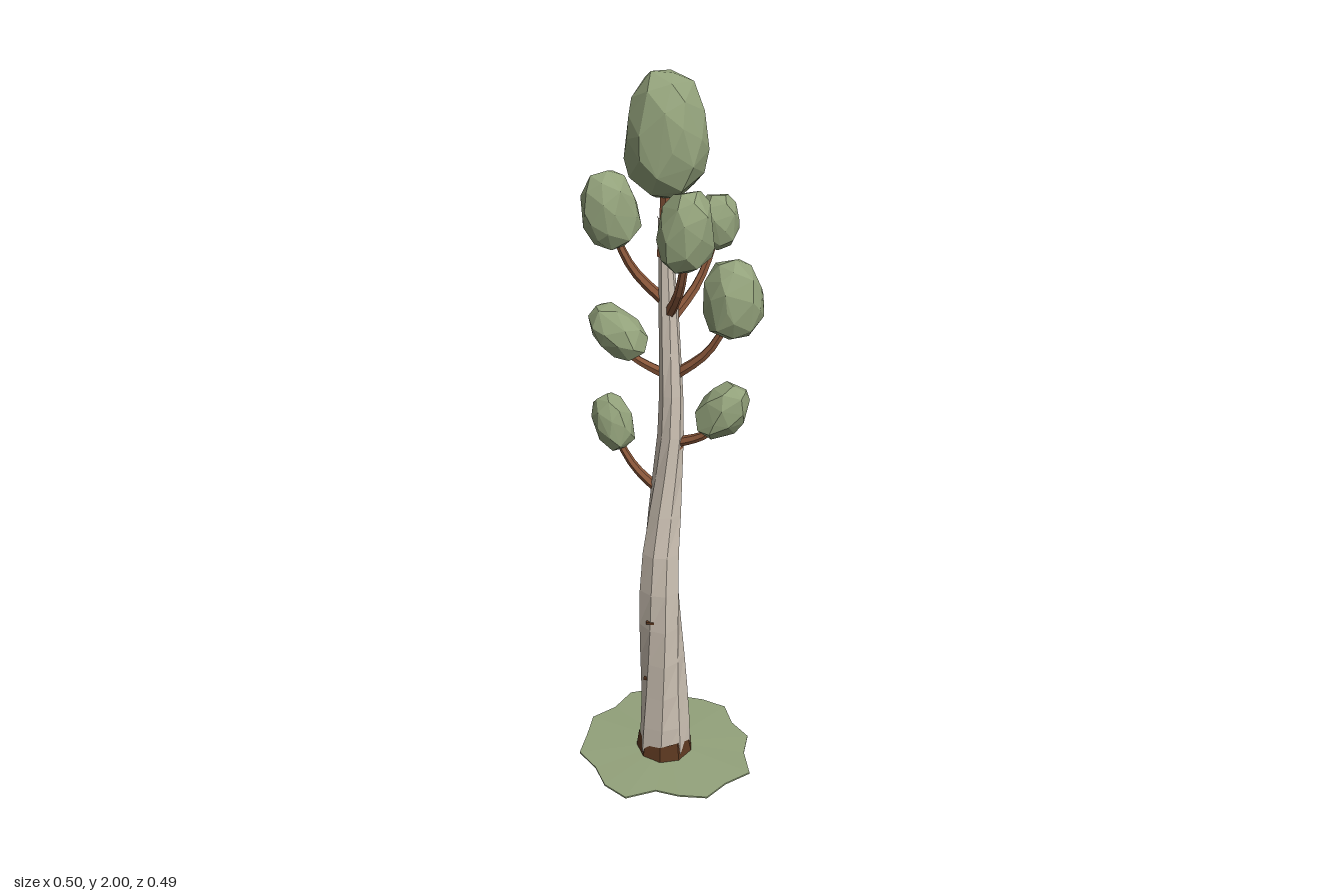
import * as THREE from 'three';
import { ConvexGeometry } from 'three/addons/geometries/ConvexGeometry.js';

const V = (x, y, z) => new THREE.Vector3(x, y, z);
const mat = (name, color) => {
  const m = new THREE.MeshStandardMaterial({ color });
  m.name = name;
  return m;
};

// Small seeded random source
function seeded(seed) {
  let s = seed * 7919 + 17;
  return () => (s = (s * 16807) % 2147483647) / 2147483647;
}

// Split faces so each gets its own flat normal
function faceted(geo) {
  const g = geo.index ? geo.toNonIndexed() : geo;
  g.computeVertexNormals();
  return g;
}

// Tapered, optionally twisted limb along a curve; radii are spread evenly along it
function limb(curve, radii, segments, sides, twist = 0, rough = 0) {
  const geo = new THREE.TubeGeometry(curve, segments, 1, sides);
  const pos = geo.attributes.position, v = V(0, 0, 0), up = V(0, 1, 0);
  for (let i = 0; i < pos.count; i++) {
    const ring = Math.floor(i / (sides + 1)), side = (i % (sides + 1)) % sides;
    const t = ring / segments, f = t * (radii.length - 1);
    const k = Math.min(Math.floor(f), radii.length - 2);
    const r = THREE.MathUtils.lerp(radii[k], radii[k + 1], f - k);
    const bump = 1 + rough * Math.sin(side * 2.4 + ring * 0.9);
    const c = curve.getPointAt(t);
    v.fromBufferAttribute(pos, i).sub(c).applyAxisAngle(up, twist * t).multiplyScalar(r * bump).add(c);
    pos.setXYZ(i, v.x, v.y, v.z);
  }
  return faceted(geo);
}

// Faceted egg of leaves, fuller towards the bottom
function clumpGeometry(width, height, seed) {
  const rnd = seeded(seed), pts = [], count = Math.round(14 + width * 150);
  for (let i = 0; i < count; i++) {
    const y = 1 - 2 * (i + 0.5) / count, a = i * 2.39996 + rnd() * 0.5;
    const r = Math.sqrt(1 - y * y);
    const full = Math.pow(r ** 2.5 + Math.abs(y) ** 2.5, -1 / 2.5) * (0.95 + 0.08 * rnd());
    const girth = full * r * (1 - 0.1 * y);
    pts.push(V(girth * Math.cos(a), full * y, girth * Math.sin(a)));
  }
  const geo = new ConvexGeometry(pts);
  geo.center();
  const b = geo.boundingBox.getSize(V(0, 0, 0));
  geo.scale(width / b.x, height / b.y, width * 0.97 / b.z);
  return faceted(geo);
}

// Ragged, slightly domed patch with a flat underside
function groundGeometry() {
  const reach = [.225, .265, .235, .25, .22, .2, .255, .25, .232, .26,
    .243, .255, .23, .26, .255, .22, .227, .24, .213, .238];
  const corner = (i, y) => {
    const a = i / reach.length * Math.PI * 2, r = reach[i % reach.length];
    return [r * Math.cos(a), y, r * Math.sin(a)];
  };
  const out = [];
  for (let i = 0; i < reach.length; i++) {
    const a = corner(i, .005), b = corner(i + 1, .005), c = corner(i, 0), d = corner(i + 1, 0);
    out.push(0, .014, 0, ...b, ...a, 0, 0, 0, ...c, ...d, ...a, ...b, ...d, ...a, ...d, ...c);
  }
  const geo = new THREE.BufferGeometry();
  geo.setAttribute('position', new THREE.Float32BufferAttribute(out, 3));
  return faceted(geo);
}

export function createModel() {
  const tree = new THREE.Group();
  tree.name = 'tree';
  const leaf = mat('leaf green', 0x93a27b);
  const bark = mat('pale bark', 0xcdc2b4);
  const wood = mat('branch brown', 0x8a573a);
  const dark = mat('root brown', 0x5c3820);
  const add = (name, geo, material, x = 0, y = 0, z = 0) => {
    const mesh = new THREE.Mesh(geo, material);
    mesh.name = name;
    mesh.position.set(x, y, z);
    tree.add(mesh);
    return mesh;
  };

  add('groundPatch', groundGeometry(), leaf);

  // Trunk: leaning, twisted and tapering
  const trunkPath = new THREE.CatmullRomCurve3([
    V(-.008, .005, .008), V(-.013, .45, .034), V(-.014, .7, .036), V(0, .9, .022),
    V(.014, 1.1, .018), V(.005, 1.35, .01), V(-.008, 1.65, .015)]);
  add('trunk', limb(trunkPath, [.076, .066, .06, .053, .045, .035, .029, .024, .014], 14, 8, 1.3, .07), bark);

  // Root collar with a ragged upper rim
  const collar = new THREE.CylinderGeometry(.074, .083, .055, 9, 1, true);
  const rim = collar.attributes.position;
  for (let i = 0; i < rim.count; i++) {
    if (rim.getY(i) > 0) rim.setY(i, .028 + .012 * Math.sin((i % 9) * 2.1));
  }
  add('rootCollar', faceted(collar), dark, -.008, .03, .01);

  // Bark scars
  add('barkRing', faceted(new THREE.CylinderGeometry(.0315, .0315, .008, 8, 1, true)), wood, .013, 1.03, .02);
  add('barkScar', new THREE.BoxGeometry(.022, .007, .008), dark, -.035, .5, .082);
  add('barkScar', new THREE.BoxGeometry(.022, .007, .008), dark, -.045, .3, .074);

  // Leaf clumps: centre, width, height, tilt, and height where the branch leaves the trunk
  const clumps = [
    [0, 1.85, .01, .2, .3, 0, 1.56],
    [-.142, 1.655, 0, .138, .19, .2, 1.43],
    [.067, 1.66, .12, .138, .2, -.1, 1.4],
    [.11, 1.61, -.08, .105, .14, -.1, 1.38],
    [.165, 1.458, .03, .146, .205, .1, 1.23],
    [-.14, 1.31, -.046, .11, .17, .8, 1.23],
    [.15, 1.157, .047, .115, .16, -.6, 1.04],
    [-.148, 1.066, -.02, .105, .16, .3, .88],
  ];
  clumps.forEach(([x, y, z, width, height, tilt, from], i) => {
    add('leafClump', clumpGeometry(width, height, i + 3), leaf, x, y, z).rotation.z = tilt;

    // Branch sweeps outward, then up into its clump
    const start = trunkPath.getPointAt(from / 1.66), end = V(x, y - height * .2, z);
    const bend = V(THREE.MathUtils.lerp(start.x, x, .6), THREE.MathUtils.lerp(start.y, end.y, .42),
      THREE.MathUtils.lerp(start.z, z, .6));
    const r = i === 0 ? .02 : .0135;
    add('branch', limb(new THREE.CatmullRomCurve3([start, bend, end]), [r * 1.1, r * .85, r * .65], 7, 6), wood);
  });

  return tree;
}
